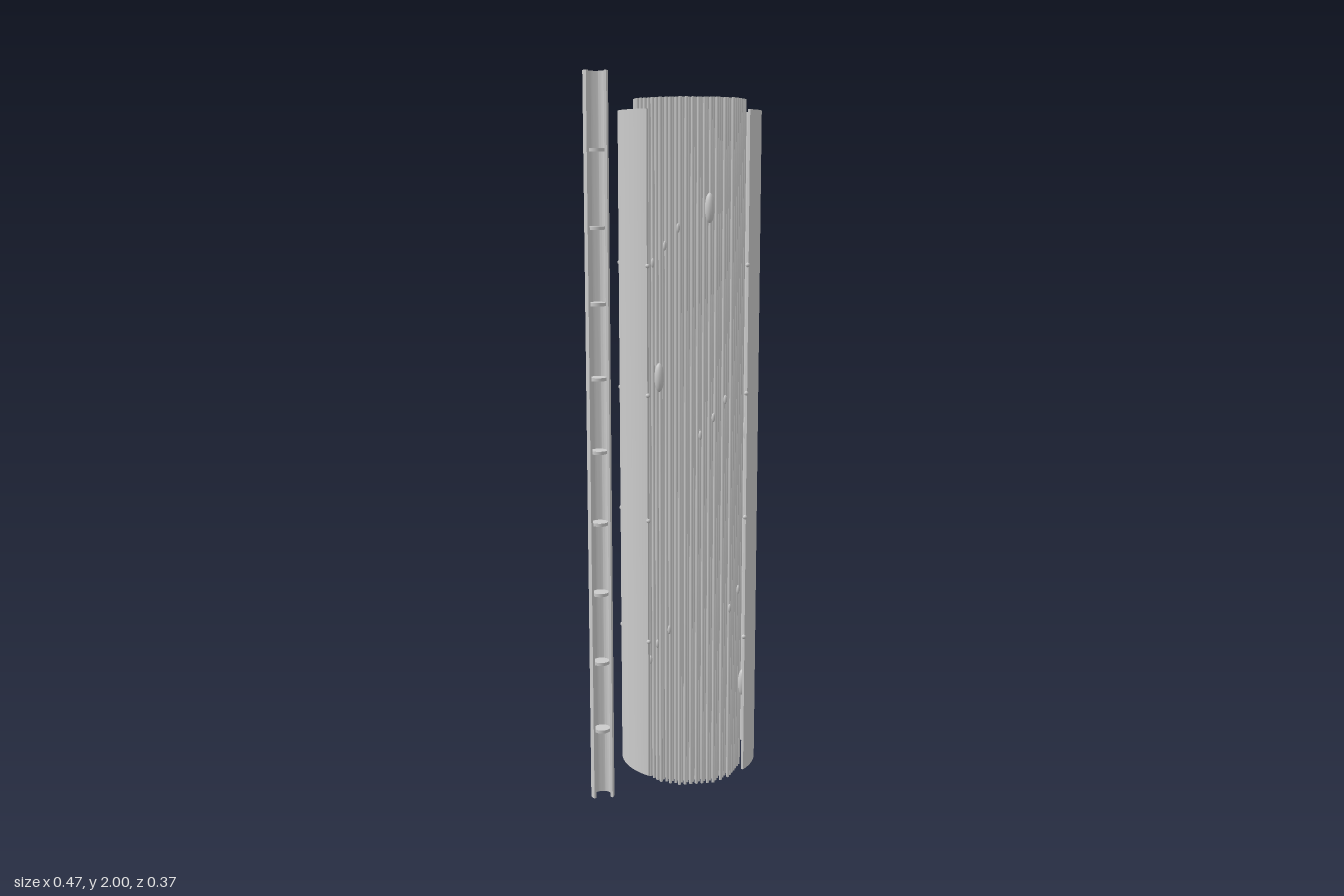
import * as THREE from 'three';
import { toCreasedNormals } from 'three/addons/utils/BufferGeometryUtils.js';

const CX = 0.0445, CZ = 0.002; // axis of the main bundle
const rad = THREE.MathUtils.degToRad;

export function createModel() {
  const model = new THREE.Group();
  const material = new THREE.MeshStandardMaterial({ color: 0xcccccc });

  function add(name, geometry, x, y, z, parent = model) {
    const mesh = new THREE.Mesh(geometry, material);
    mesh.name = name;
    mesh.position.set(x, y, z);
    parent.add(mesh);
    return mesh;
  }

  function addGroup(name) {
    const group = new THREE.Group();
    group.name = name;
    model.add(group);
    return group;
  }

  // Upright tube wall with a slot of the given half angle facing the front
  function slottedTube(outer, inner, height, halfOpening) {
    const start = -Math.PI / 2 + halfOpening;
    const end = Math.PI * 1.5 - halfOpening;
    const shape = new THREE.Shape();
    shape.absarc(0, 0, outer, start, end, false);
    shape.absarc(0, 0, inner, end, start, true);
    shape.closePath();
    const g = new THREE.ExtrudeGeometry(shape, { depth: height, bevelEnabled: false, curveSegments: 48 });
    g.rotateX(-Math.PI / 2);
    return toCreasedNormals(g, 0.5);
  }

  // Point on a ring around the bundle axis; 0 degrees is the front
  const ring = (deg, r) => [CX + r * Math.sin(rad(deg)), CZ + r * Math.cos(rad(deg))];

  // Cut-open sheath around the bundle
  add('sheath', slottedTube(0.188, 0.181, 1.79, rad(45)), CX, 0.11, CZ);

  // Bundle of thin rods on a hexagonal lattice
  const rods = addGroup('rodBundle');
  const rodGeo = new THREE.CylinderGeometry(0.0046, 0.0046, 1.85, 6);
  const pitch = 0.0157, rowPitch = pitch * Math.sqrt(3) / 2;
  for (let row = -11; row <= 11; row++) {
    for (let col = -11; col <= 11; col++) {
      const x = (col + (row % 2 ? 0.5 : 0)) * pitch;
      const z = row * rowPitch;
      if (Math.hypot(x, z) < 0.146) add('rod', rodGeo, CX + x, 1.005, CZ + z, rods);
    }
  }

  // Long ellipsoids between the bundle and the sheath
  const bodies = addGroup('ellipsoids');
  const bodyGeo = new THREE.SphereGeometry(0.0127, 16, 12).scale(1, 3, 1);
  [1.655, 0.355, 1.05, 1.5, 0.6, 1.3, 0.79, 1.22].forEach((y, i) => {
    const [x, z] = ring(8 + i * 45, 0.169);
    add('ellipsoid', bodyGeo, x, y, z, bodies);
  });

  // Rising chains of three small beads: start angle, start height
  const beads = addGroup('beadChains');
  const beadGeo = new THREE.SphereGeometry(0.0047, 10, 8).scale(1, 2.6, 1);
  const chains = [
    [0.6, 1.07], [32, 0.585], [65, 1.4], [85, 0.85], [115, 0.3], [138, 1.55], [170, 1.1],
    [203, 0.65], [236, 1.35], [256, 0.9], [288, 0.35], [308, 0.445], [316, 1.515],
  ];
  for (const [deg, y] of chains) {
    for (let i = 0; i < 3; i++) {
      const [x, z] = ring(deg + i * 12.2, 0.167);
      add('bead', beadGeo, x, y + i * 0.045, z, beads);
    }
  }

  // Small studs set in the sheath wall
  const studs = addGroup('sheathStuds');
  const studGeo = new THREE.SphereGeometry(0.006, 10, 8);
  for (const y of [0.498, 0.835, 1.172, 1.508]) {
    for (let i = 0; i < 6; i++) {
      const [x, z] = ring(45 + i * 54, 0.1855);
      add('stud', studGeo, x, y, z, studs);
    }
  }

  // Slim slotted side tube with evenly spaced discs inside
  add('sideTube', slottedTube(0.033, 0.0255, 2, rad(52)), -0.202, 0, 0.003);
  const discs = addGroup('sideTubeDiscs');
  const discGeo = new THREE.CylinderGeometry(0.0225, 0.0225, 0.009, 24);
  for (let i = 1; i <= 9; i++) add('disc', discGeo, -0.202, i * 0.2, 0.003, discs);

  return model;
}
